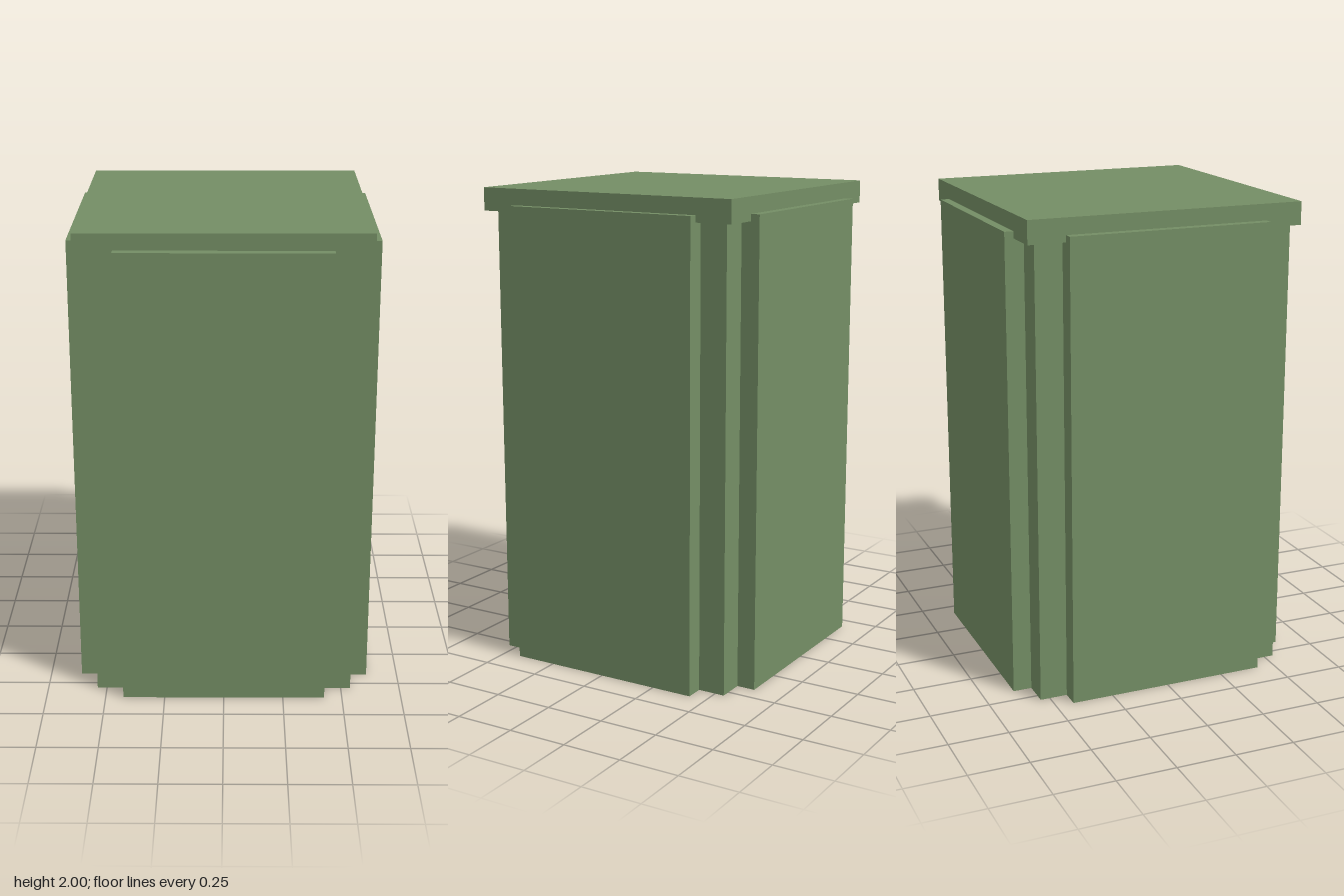
import * as THREE from 'three';

export function createModel() {
  const model = new THREE.Group();
  model.name = 'panelledPillar';
  const green = new THREE.MeshStandardMaterial({ color: 0x748e65 });
  green.name = 'sage green';

  const BODY = 0.54, LID = 0.58, PANEL = 0.425, OUTER = 0.618;
  const BODY_TOP = 1.905, PANEL_TOP = 1.933;

  // Adds a box standing on height y
  function box(name, w, h, d, y, parent = model, z = 0) {
    const mesh = new THREE.Mesh(new THREE.BoxGeometry(w, h, d), green);
    mesh.name = name;
    mesh.position.set(0, y + h / 2, z);
    parent.add(mesh);
  }

  // Square core and overhanging lid
  box('body', BODY * 2, BODY_TOP, BODY * 2, 0);
  box('lid', LID * 2, 2 - BODY_TOP, LID * 2, BODY_TOP);

  // One raised panel on each side, rising just past the lid's lower edge
  ['front', 'left', 'back', 'right'].forEach((side, i) => {
    const group = new THREE.Group();
    group.name = side + 'Side';
    group.rotation.y = i * Math.PI / 2;
    box(side + 'Panel', PANEL * 2, PANEL_TOP, OUTER - BODY, 0, group, (OUTER + BODY) / 2);
    model.add(group);
  });

  return model;
}
